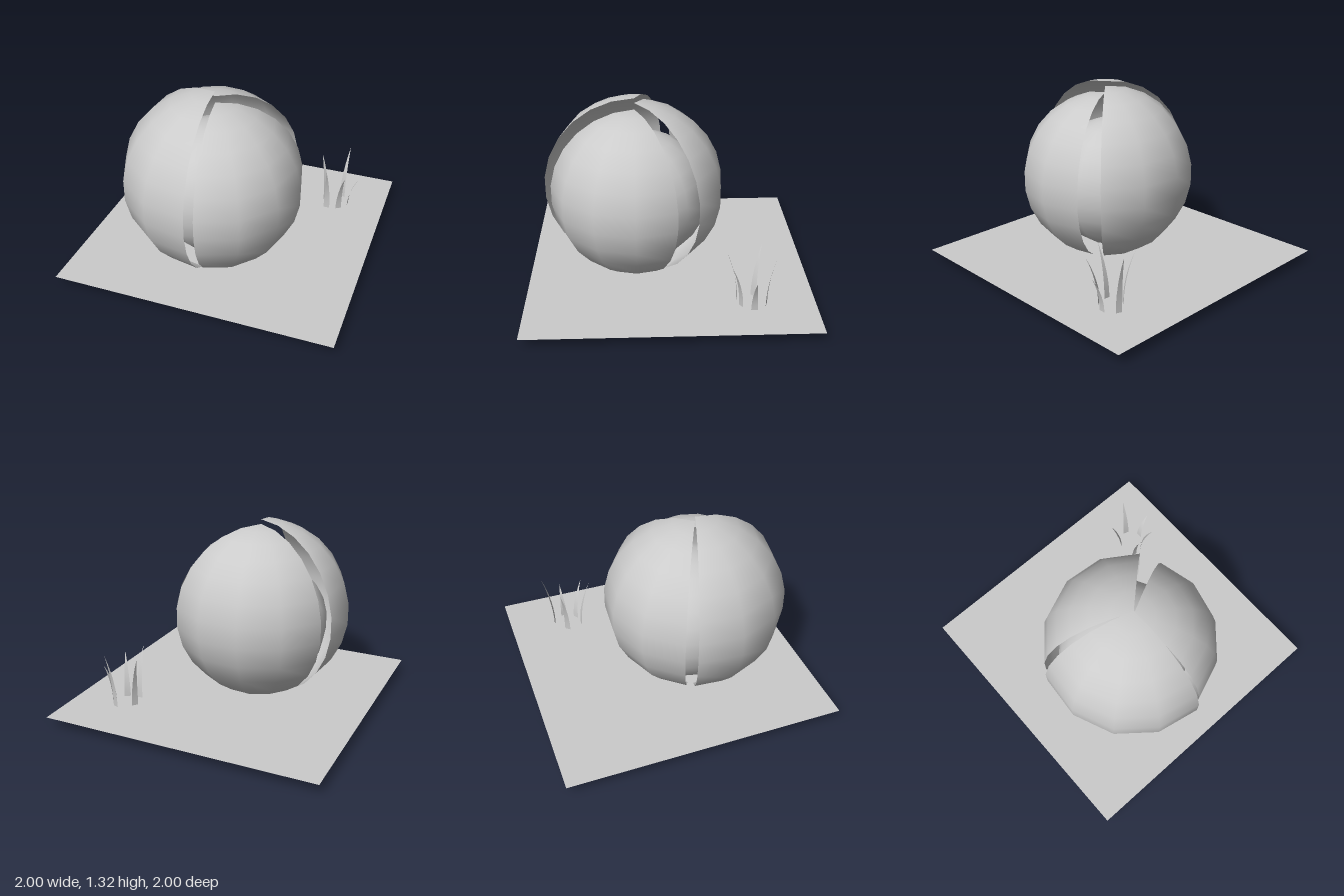
import * as THREE from 'three';

const mat = new THREE.MeshStandardMaterial({ color: 0xcccccc, side: THREE.DoubleSide });
const CX = -0.08, CZ = 0.23, GROUND = 0.08;

function add(parent, name, geo, x = 0, y = 0, z = 0) {
  const mesh = new THREE.Mesh(geo, mat);
  mesh.name = name;
  mesh.position.set(x, y, z);
  parent.add(mesh);
  return mesh;
}

// Curved, tapering strip that rises from its base and leans out to its tip
function bladeGeometry(lean, height, width) {
  const rows = 6, pos = [], index = [];
  const side = new THREE.Vector2(-lean.y, lean.x).normalize();
  for (let i = 0; i <= rows; i++) {
    const t = i / rows, bend = t * t, half = (width / 2) * (1 - t ** 1.7) + 0.0005;
    for (const s of [-1, 1]) {
      pos.push(lean.x * bend + s * side.x * half, height * t, lean.y * bend + s * side.y * half);
    }
    if (i < rows) {
      const a = i * 2;
      index.push(a, a + 2, a + 1, a + 1, a + 2, a + 3);
    }
  }
  const geo = new THREE.BufferGeometry();
  geo.setAttribute('position', new THREE.Float32BufferAttribute(pos, 3));
  geo.setIndex(index);
  geo.computeVertexNormals();
  return geo;
}

export function createModel() {
  const model = new THREE.Group();
  model.name = 'crackedBall';

  // Flat ground sheet
  add(model, 'ground', new THREE.PlaneGeometry(2, 2).rotateX(-Math.PI / 2), 0, GROUND, 0);

  // Three open shell wedges around one axis, each with its own size
  const shell = new THREE.Group();
  shell.name = 'shell';
  model.add(shell);
  const rad = THREE.MathUtils.degToRad;
  const span = (Math.PI * 2 * 4) / 13;
  const wedges = [
    ['backShell', 0.645, 43.2],
    ['rightShell', 0.662, 161.6],
    ['leftShell', 0.621, -83],
  ];
  for (const [name, r, start] of wedges) {
    add(shell, name, new THREE.SphereGeometry(r, 4, 13, rad(start + 180), span), CX, r, CZ);
  }

  // Smaller ball resting on the ground inside the shell
  add(model, 'innerBall', new THREE.SphereGeometry(0.485, 13, 13), -0.115, GROUND + 0.485, 0.185);

  // Tuft of grass: base x, base z, tip x, tip z, tip height
  const grass = new THREE.Group();
  grass.name = 'grass';
  model.add(grass);
  const blades = [
    [0.54, -0.58, 0.48, -0.63, 0.455],
    [0.655, -0.655, 0.68, -0.725, 0.5],
    [0.72, -0.565, 0.8, -0.565, 0.335],
    [0.575, -0.46, 0.575, -0.38, 0.455],
    [0.665, -0.48, 0.712, -0.41, 0.4],
  ];
  for (const [x, z, tx, tz, top] of blades) {
    const lean = new THREE.Vector2(tx - x, tz - z);
    add(grass, 'blade', bladeGeometry(lean, top - GROUND, 0.045), x, GROUND, z);
  }
  return model;
}
